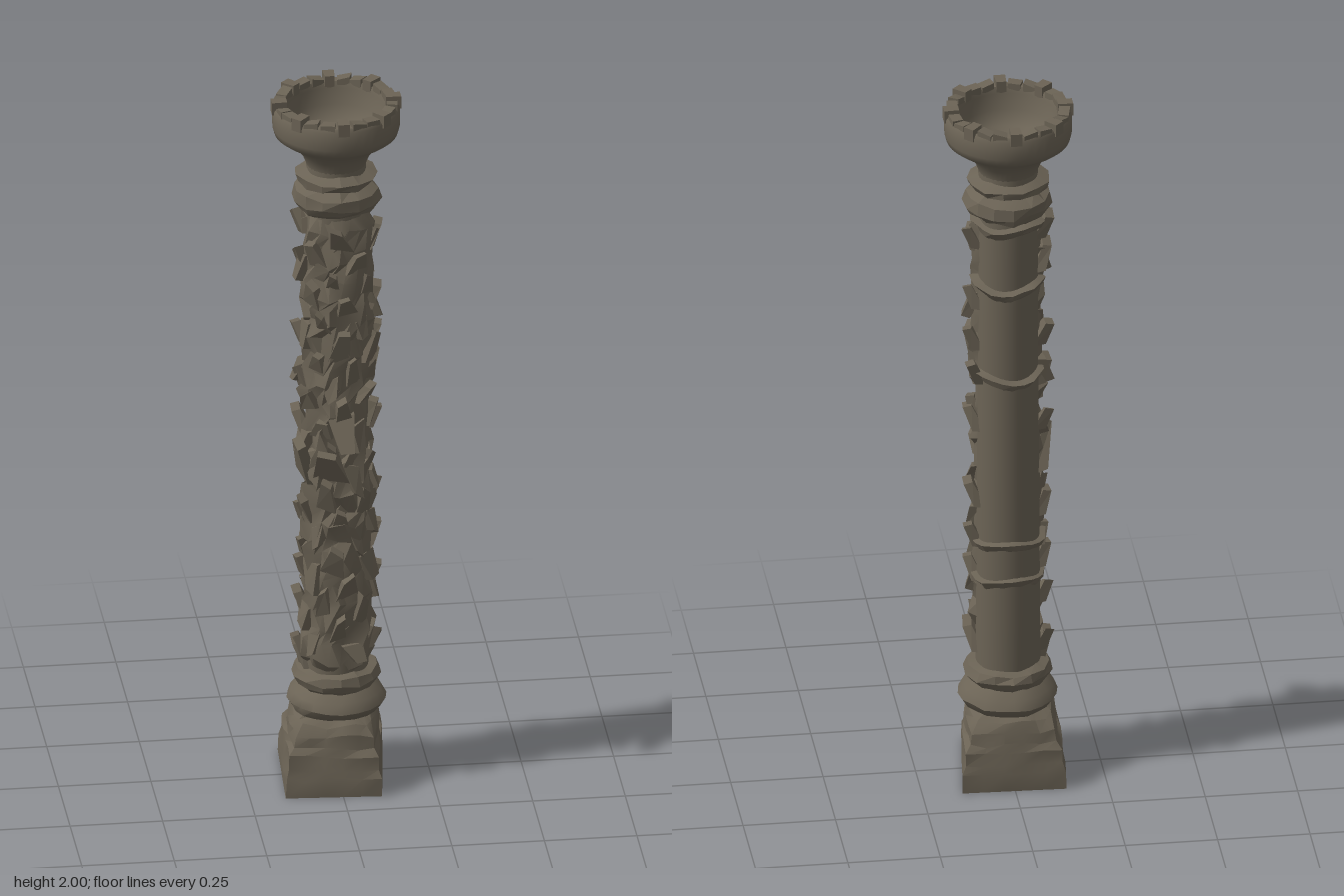
import * as THREE from 'three';
import { toCreasedNormals } from 'three/addons/utils/BufferGeometryUtils.js';

const TAU = Math.PI * 2;

export function createModel() {
  const model = new THREE.Group();
  const stone = new THREE.MeshStandardMaterial({ color: 0x6b6355 });
  stone.name = 'weathered stone';

  // Small seeded generator, centred on zero (-1..1)
  let seed = 7;
  const rnd = () => {
    seed = (seed * 16807) % 2147483647;
    return (seed / 2147483647) * 2 - 1;
  };

  // Skin over rows (bottom to top) of points running from +z towards +x
  function loft(rows, closed = true) {
    const n = rows[0].length, pos = [], idx = [];
    rows.forEach(row => row.forEach(p => pos.push(...p)));
    for (let i = 0; i < rows.length - 1; i++) {
      for (let j = 0; j < (closed ? n : n - 1); j++) {
        const a = i * n + j, b = i * n + (j + 1) % n;
        idx.push(a, b, b + n, a, b + n, a + n);
      }
    }
    const g = new THREE.BufferGeometry();
    g.setAttribute('position', new THREE.Float32BufferAttribute(pos, 3));
    g.setIndex(idx);
    return g;
  }
  const polar = (r, a, y) => [Math.sin(a) * r, y, Math.cos(a) * r];

  // Turned profile [radius, y], roughened by jitter
  function turned(profile, segs, jitter = 0) {
    return loft(profile.map(([r, y]) => Array.from({ length: segs }, (_, j) =>
      polar(r + (r > 0 ? rnd() * jitter : 0), j / segs * TAU, y + (r > 0 ? rnd() * jitter * 0.7 : 0)))));
  }

  function add(name, geometry, crease = 0.6, parent = model) {
    let g;
    if (crease === 0) {
      g = geometry.index ? geometry.toNonIndexed() : geometry;
      g.computeVertexNormals();
    } else g = toCreasedNormals(geometry, crease);
    const mesh = new THREE.Mesh(g, stone);
    mesh.name = name;
    parent.add(mesh);
    return mesh;
  }

  // Plinth: uneven square foot blending to a round top
  const corners = [[-0.155, 0.152], [0.103, 0.17], [0.142, -0.146], [-0.138, -0.155]];
  const plinth = [[0, 0, 0], [1, 0, 0], [1, 0.05, 0.04], [0.95, 0.075, 0.1], [0.95, 0.115, 0.14],
    [0.87, 0.13, 0.2], [0.85, 0.165, 0.3], [0.75, 0.19, 0.55], [0.55, 0.205, 1]];
  add('plinth', loft(plinth.map(([s, y, round], row) => {
    const points = [];
    for (let c = 0; c < 4; c++) {
      const [p, q] = [corners[c], corners[(c + 1) % 4]];
      for (let k = 0; k < 5; k++) {
        const x = p[0] + (q[0] - p[0]) * k / 5, z = p[1] + (q[1] - p[1]) * k / 5;
        const w = s * (1 + round * (0.165 / Math.hypot(x, z) - 1)) + (row > 1 ? rnd() * 0.018 : 0);
        points.push([x * w, y + (row > 1 ? rnd() * 0.007 : 0), z * w]);
      }
    }
    return points;
  })), 0.5);

  // Base mouldings
  add('baseRoll', turned([[0.085, 0.195], [0.118, 0.205], [0.134, 0.23], [0.122, 0.255], [0.085, 0.28]], 20, 0.003), 0.8);
  add('baseCollar', turned([[0.09, 0.265], [0.108, 0.28], [0.117, 0.3], [0.108, 0.322], [0.08, 0.33]], 14, 0.006), 0.3);

  // Shaft
  add('shaft', turned([[0.088, 0.2], [0.086, 0.5], [0.083, 1.0], [0.08, 1.4], [0.08, 1.82]], 32), 0.8);

  // Rough carved relief wrapped over the front of the shaft
  const relief = [], rowCount = 30, columns = 11;
  for (let i = 0; i <= rowCount; i++) {
    const row = [];
    for (let j = 0; j <= columns; j++) {
      const edge = j === 0 || j === columns || i === 0 || i === rowCount;
      const angle = (j / columns - 0.5) * 3.3 + (i % 2 ? 0.1 : -0.1) + rnd() * 0.08;
      const r = edge ? 0.078 : 0.098 + rnd() * 0.013;
      row.push(polar(r, angle, 0.325 + i / rowCount * 1.35 + (edge ? 0 : rnd() * 0.014)));
    }
    relief.push(row);
  }
  add('carvedRelief', loft(relief, false), 0.5);

  // Broken leaf-like chips standing off the relief
  const chips = new THREE.Group();
  chips.name = 'carvedLeaves';
  model.add(chips);
  function chip(angle, y, w, h, reach, up) {
    const g = new THREE.BoxGeometry(w, h, 0.05, 1, 1, 1).toNonIndexed();
    const p = g.attributes.position;
    const skew = rnd() * 0.4, lean = rnd() * 0.012;
    for (let i = 0; i < p.count; i++) {
      const outer = p.getZ(i) > 0, tip = p.getY(i) * up > 0;
      const side = Math.sign(p.getX(i));
      p.setX(i, p.getX(i) * (tip ? 0.5 : 1) + (tip ? skew * w : 0));
      p.setY(i, p.getY(i) * (outer ? 0.85 : 1) + side * lean);
      p.setZ(i, outer ? (tip ? reach : 0.098) : (tip ? reach - 0.024 : 0.06));
    }
    const m = add('leafChip', g, 0, chips);
    m.position.y = y;
    m.rotation.y = angle;
  }
  for (let i = 0; i < 52; i++) {
    const angle = ((i * 0.618) % 1 - 0.5) * 2.9;
    chip(angle, 0.37 + i / 51 * 1.25, 0.05 + rnd() * 0.016, 0.075 + rnd() * 0.025, 0.119 + rnd() * 0.007, rnd() > -0.3 ? 1 : -1);
  }
  // Chips that break the outline at the sides
  for (const y of [0.4, 0.6, 0.71, 0.84, 1.06, 1.21, 1.3, 1.42, 1.6]) chip(1.5 + rnd() * 0.2, y, 0.055, 0.07, 0.122, 1);
  for (const y of [0.37, 0.52, 0.63, 0.79, 1.05, 1.19, 1.31, 1.54, 1.64]) chip(-1.4 + rnd() * 0.2, y, 0.055, 0.07, 0.12, 1);
  chip(0, 1.06, 0.075, 0.1, 0.165, -1);
  chip(-0.25, 0.95, 0.1, 0.1, 0.14, 1);
  chip(-1.35, 0.95, 0.09, 0.13, 0.13, 1);

  // Thin ragged bands continuing around the back
  for (const y of [0.59, 0.7, 1.2, 1.47, 1.655]) {
    const rows = [[0.078, -0.022], [0.089, -0.012], [0.1, 0.008], [0.078, 0.013]].map(([r, dy]) =>
      Array.from({ length: 13 }, (_, j) => {
        const t = j / 12;
        return polar(r + (r > 0.08 ? rnd() * 0.006 : 0), 1.4 + t * 3.5, y + dy + Math.sin(t * 9 + y * 5) * 0.008);
      }));
    add('backBand', loft(rows, false), 0.3);
  }

  // Neck rings
  add('lowerNeckRing', turned([[0.078, 1.675], [0.106, 1.69], [0.118, 1.71], [0.114, 1.74], [0.078, 1.76]], 14, 0.007), 0.3);
  add('upperNeckRing', turned([[0.078, 1.752], [0.103, 1.763], [0.11, 1.783], [0.076, 1.797]], 13, 0.006), 0.3);

  // Hollow capital: flared outside, rim, then bowl inside
  add('capital', turned([[0.076, 1.78], [0.08, 1.81], [0.092, 1.84], [0.115, 1.868], [0.148, 1.888], [0.166, 1.902],
    [0.171, 1.92], [0.171, 1.972], [0.163, 1.983], [0.14, 1.983], [0.133, 1.965], [0.127, 1.92], [0.1, 1.885],
    [0.055, 1.868], [0, 1.865]], 40), 0.7);

  // Worn blocks round the rim, the widest at every eighth turn
  const rim = new THREE.Group();
  rim.name = 'rimBlocks';
  model.add(rim);
  for (let i = 0; i < 24; i++) {
    const major = i % 3 === 0;
    const g = new THREE.BoxGeometry(major ? 0.029 : 0.037, 0.036, major ? 0.041 : 0.03).toNonIndexed();
    const p = g.attributes.position, slope = rnd() * 0.005;
    for (let k = 0; k < p.count; k++) {
      if (p.getY(k) > 0) p.setY(k, p.getY(k) + (major ? 0 : Math.sign(p.getX(k)) * slope - 0.004));
      p.setX(k, p.getX(k) * (p.getZ(k) > 0 ? 1.08 : 0.92));
    }
    const m = add('rimBlock', g, 0, rim);
    const a = i / 24 * TAU + (major ? 0 : rnd() * 0.03);
    m.position.set(...polar(major ? 0.154 : 0.151, a, major ? 1.982 : 1.978));
    m.rotation.y = a + (major ? 0 : rnd() * 0.12);
  }

  return model;
}
